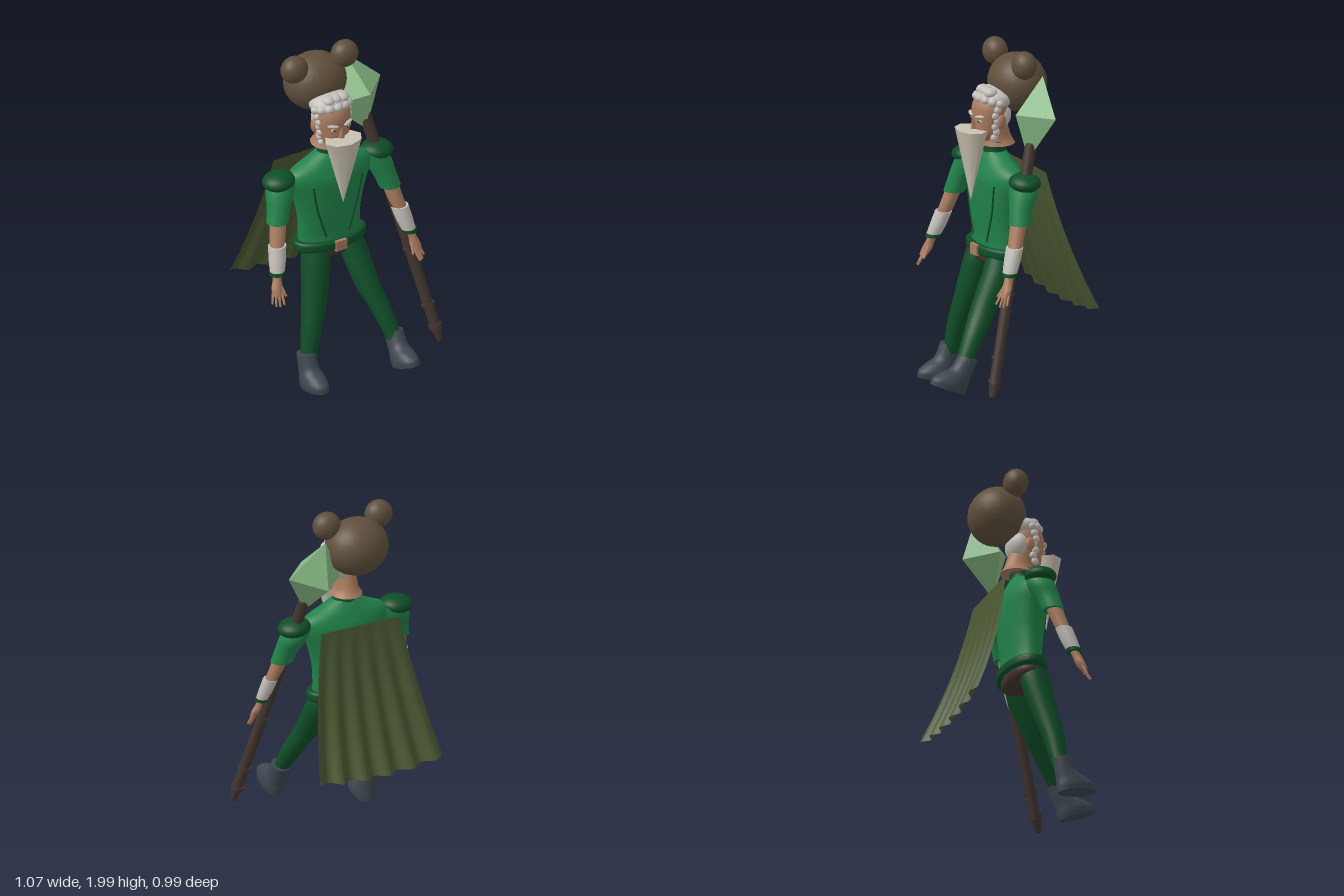
import * as THREE from 'three';

const mat = (name, color) => new THREE.MeshStandardMaterial({ name, color });

export function createModel() {
  const M = {
    green: mat('tunic green', 0x21824a),
    dark: mat('dark green', 0x0e4d27),
    olive: mat('cape olive', 0x4a5731),
    brown: mat('hat brown', 0x5f4f3c),
    wood: mat('staff wood', 0x43352f),
    crystal: mat('crystal green', 0x86b983),
    skin: mat('skin', 0xaa7c5e),
    white: mat('hair white', 0xc2beb8),
    beard: mat('beard cream', 0xcac1b1),
    boot: mat('boot slate', 0x3d474f),
  };
  M.olive.side = THREE.DoubleSide;
  M.crystal.flatShading = true;

  const model = new THREE.Group();
  model.name = 'wizard';
  const CX = -0.033; // body centre line

  const add = (name, geo, material, pos = [0, 0, 0], scale = [1, 1, 1], parent = model) => {
    const m = new THREE.Mesh(geo, material);
    m.name = name;
    m.position.set(...pos);
    m.scale.set(...scale);
    parent.add(m);
    return m;
  };
  const ball = (name, material, pos, radii, parent) =>
    add(name, new THREE.SphereGeometry(1, 24, 16), material, pos, radii, parent);
  // round bar between two points
  const bar = (name, material, a, b, ra, rb, seg = 16) => {
    const A = new THREE.Vector3(...a), B = new THREE.Vector3(...b);
    const d = B.clone().sub(A);
    const m = add(name, new THREE.CylinderGeometry(rb, ra, d.length(), seg), material);
    m.position.copy(A).addScaledVector(d, 0.5);
    m.quaternion.setFromUnitVectors(new THREE.Vector3(0, 1, 0), d.normalize());
    return m;
  };
  // smooth body through level ellipses [x, y, z, rx, rz], with capped ends
  const loft = (name, material, rings, parent, seg = 24) => {
    const r = [...rings].sort((a, b) => a[1] - b[1]);
    const path = new THREE.CatmullRomCurve3(r.map(q => new THREE.Vector3(q[0], q[1], q[2])));
    const size = new THREE.CatmullRomCurve3(r.map(q => new THREE.Vector3(q[3], q[4], 0)));
    path.curveType = size.curveType = 'catmullrom';
    const n = (r.length - 1) * 5, pos = [], idx = [];
    const ring = t => {
      const c = path.getPoint(t), s = size.getPoint(t);
      for (let j = 0; j < seg; j++) {
        const a = j / seg * Math.PI * 2;
        pos.push(c.x + s.x * Math.sin(a), c.y, c.z + s.y * Math.cos(a));
      }
    };
    for (let i = 0; i <= n; i++) ring(i / n);
    for (let i = 0; i < n; i++) for (let j = 0; j < seg; j++) {
      const k = (j + 1) % seg, a = i * seg + j, b = i * seg + k;
      idx.push(a, b, b + seg, a, b + seg, a + seg);
    }
    for (const t of [0, 1]) {
      const s = pos.length / 3;
      ring(t);
      pos.push(...path.getPoint(t).toArray());
      for (let j = 0; j < seg; j++) {
        const k = (j + 1) % seg;
        idx.push(s + seg, s + (t ? j : k), s + (t ? k : j));
      }
    }
    const g = new THREE.BufferGeometry();
    g.setAttribute('position', new THREE.Float32BufferAttribute(pos, 3));
    g.setIndex(idx);
    g.computeVertexNormals();
    return add(name, g, material, [0, 0, 0], [1, 1, 1], parent);
  };

  // torso, collar, belt
  loft('torso', M.green, [
    [CX, 0.84, -0.05, 0.2, 0.1], [CX, 0.92, -0.05, 0.198, 0.1], [CX, 1.03, -0.05, 0.205, 0.112],
    [CX, 1.15, -0.05, 0.235, 0.12], [CX, 1.25, -0.05, 0.27, 0.118], [CX, 1.31, -0.05, 0.255, 0.1],
    [CX, 1.36, -0.05, 0.15, 0.08], [CX, 1.4, -0.05, 0.075, 0.06]], model, 32);
  loft('collar', M.dark, [[CX, 1.36, -0.05, 0.085, 0.072], [CX, 1.41, -0.05, 0.068, 0.062], [CX, 1.46, -0.05, 0.076, 0.068]]);
  loft('belt', M.dark, [[CX, 0.803, -0.045, 0.222, 0.115], [CX, 0.815, -0.045, 0.232, 0.124], [CX, 0.848, -0.045, 0.232, 0.124], [CX, 0.86, -0.045, 0.22, 0.115]], model, 32);
  add('buckle', new THREE.BoxGeometry(0.072, 0.062, 0.02), M.skin, [CX, 0.83, 0.078]);
  ball('pelvis', M.wood, [CX, 0.79, -0.045], [0.19, 0.075, 0.1]);
  for (const s of [-1, 1]) {
    const seam = new THREE.CatmullRomCurve3([[0.162, 1.235, 0.046], [0.13, 1.07, 0.041], [0.075, 0.89, 0.044]]
      .map(p => new THREE.Vector3(CX + s * p[0], p[1], p[2])));
    add('tunicSeam', new THREE.TubeGeometry(seam, 20, 0.006, 6), M.dark);
  }

  // arms
  for (const s of [-1, 1]) {
    const X = d => CX + s * d;
    ball('shoulderPad', M.dark, [X(0.327), 1.287, -0.06], [0.096, 0.052, 0.09]).rotation.z = -s * 0.08;
    loft('sleeve', M.green, [[X(0.3), 1.29, -0.06, 0.075, 0.075], [X(0.325), 1.22, -0.05, 0.082, 0.08],
      [X(0.352), 1.14, -0.02, 0.068, 0.066], [X(0.374), 1.065, 0, 0.064, 0.06]]);
    loft('forearm', M.skin, [[X(0.37), 1.09, 0, 0.048, 0.046], [X(0.395), 0.98, 0.035, 0.045, 0.042], [X(0.42), 0.9, 0.06, 0.04, 0.038]]);
    loft('bracer', M.white, [[X(0.407), 0.945, 0.05, 0.053, 0.047], [X(0.422), 0.87, 0.075, 0.05, 0.046], [X(0.438), 0.8, 0.1, 0.042, 0.04]]);
    loft('cuffBand', M.dark, [[X(0.437), 0.812, 0.097, 0.046, 0.043], [X(0.439), 0.792, 0.102, 0.045, 0.042]]);
    loft('hand', M.skin, [[X(0.44), 0.8, 0.1, 0.026, 0.026], [X(0.449), 0.76, 0.115, 0.026, 0.026],
      [X(0.458), 0.72, 0.13, 0.034, 0.026], [X(0.465), 0.685, 0.148, 0.028, 0.02]]);
    for (let i = 0; i < 4; i++) {
      const o = (i - 1.5) * 0.014;
      bar('finger', M.skin, [X(0.462 + o), 0.7, 0.14 - o * 0.5], [X(0.478 + o * 1.3), 0.62 + Math.abs(o), 0.175 - o], 0.009, 0.006, 8);
    }
    bar('thumb', M.skin, [X(0.44), 0.74, 0.13], [X(0.422), 0.675, 0.17], 0.011, 0.007, 8);
  }

  // legs and boots
  const leg = (rings, pos, tilt) => {
    loft('leg', M.dark, rings);
    const boot = new THREE.Group();
    boot.name = 'boot';
    boot.position.set(...pos);
    boot.rotation.x = tilt;
    model.add(boot);
    loft('bootShell', M.boot, [[0, 0, 0.057, 0.062, 0.115], [0, 0.035, 0.057, 0.068, 0.115], [0, 0.075, 0.04, 0.063, 0.094],
      [0, 0.12, 0.012, 0.056, 0.066], [0, 0.205, 0, 0.055, 0.054]], boot);
  };
  leg([[-0.145, 0.81, -0.02, 0.07, 0.075], [-0.15, 0.72, -0.005, 0.082, 0.086], [-0.185, 0.52, 0.04, 0.075, 0.075],
    [-0.225, 0.36, 0.075, 0.062, 0.062], [-0.265, 0.17, 0.1, 0.046, 0.046]], [-0.28, 0.015, 0.135], -0.17);
  leg([[0.085, 0.81, -0.02, 0.07, 0.075], [0.1, 0.72, 0.01, 0.08, 0.084], [0.125, 0.54, 0.105, 0.072, 0.078],
    [0.165, 0.4, 0.19, 0.06, 0.068], [0.195, 0.25, 0.275, 0.046, 0.05]], [0.204, 0.095, 0.335], -0.4);

  // neck and head
  loft('neck', M.skin, [[CX, 1.435, -0.07, 0.092, 0.1], [CX, 1.48, -0.06, 0.07, 0.085], [CX, 1.58, -0.04, 0.065, 0.075]]);
  loft('head', M.skin, [[CX, 1.47, 0.03, 0.045, 0.035], [CX, 1.51, 0.01, 0.082, 0.07], [CX, 1.59, -0.01, 0.103, 0.092],
    [CX, 1.67, -0.02, 0.107, 0.098], [CX, 1.74, -0.03, 0.075, 0.07]]);
  const nose = add('nose', new THREE.ConeGeometry(0.02, 0.085, 10), M.skin, [CX, 1.575, 0.088], [1, 1, 1.3]);
  nose.rotation.x = 0.22;
  for (const s of [-1, 1]) {
    ball('ear', M.skin, [CX + s * 0.11, 1.59, -0.035], [0.014, 0.04, 0.026]);
    ball('eye', M.white, [CX + s * 0.043, 1.59, 0.07], [0.018, 0.009, 0.008]);
    ball('pupil', M.wood, [CX + s * 0.043, 1.59, 0.076], [0.007, 0.007, 0.004]);
    const brow = ball('eyebrow', M.white, [CX + s * 0.05, 1.618, 0.075], [0.034, 0.009, 0.013]);
    brow.rotation.set(0, s * 0.35, s * 0.15);
    for (let i = 0; i < 6; i++) // side curls
      ball('sideCurl', M.white, [CX + s * (0.106 - i * 0.004), 1.66 - i * 0.033, -0.01 + 0.012 * (i % 2)], [0.016, 0.022, 0.022]);
  }

  // hair, beard
  ball('hairCap', M.white, [CX, 1.71, -0.045], [0.122, 0.066, 0.105]);
  ball('hairBack', M.white, [CX, 1.61, -0.065], [0.1, 0.09, 0.072]);
  for (let i = 0; i < 7; i++) {
    const a = (i / 6 - 0.5) * Math.PI * 0.95;
    ball('frontCurl', M.white, [CX + Math.sin(a) * 0.1, 1.695 + 0.02 * Math.cos(a), -0.03 + Math.cos(a) * 0.075], [0.032, 0.026, 0.028]);
    if (i > 1 && i < 5) ball('topCurl', M.white, [CX + (i - 2.8) * 0.045, 1.75, 0.005], [0.037, 0.029, 0.04]);
  }
  add('beard', new THREE.ConeGeometry(1, 0.42, 8), M.beard, [CX, 1.33, 0.103], [0.118, 1, 0.083]).rotation.x = Math.PI;

  // round hat with two pompoms
  ball('hat', M.brown, [CX, 1.775, -0.195], [0.187, 0.167, 0.163]);
  for (const s of [-1, 1]) ball('pompom', M.brown, [CX + s * 0.167, 1.919, -0.147], [0.082, 0.081, 0.07]);

  // staff
  const top = new THREE.Vector3(0.258, 1.47, -0.115), end = new THREE.Vector3(0.505, 0.13, 0.268);
  const at = t => top.clone().lerp(end, t).toArray();
  bar('staffShaft', M.wood, at(0.95), at(-0.02), 0.03, 0.034);
  bar('staffTip', M.wood, at(1), at(0.95), 0.018, 0.031);
  for (const t of [0.585, 0.84, 0.935]) bar('staffRing', M.wood, at(t + 0.006), at(t - 0.006), 0.039, 0.039);

  // crystal: stretched octahedron from its corners
  const c = [[0.19, 1.86, -0.235], [0.235, 1.67, -0.034], [0.405, 1.665, -0.197], [0.21, 1.595, -0.307], [0.04, 1.6, -0.145], [0.254, 1.405, -0.105]];
  const faces = [];
  for (let i = 0; i < 4; i++) {
    const a = 1 + i, b = 1 + (i + 1) % 4;
    faces.push(...c[0], ...c[a], ...c[b], ...c[5], ...c[b], ...c[a]);
  }
  const gem = new THREE.BufferGeometry();
  gem.setAttribute('position', new THREE.Float32BufferAttribute(faces, 3));
  gem.computeVertexNormals();
  add('crystal', gem, M.crystal);

  // rippled cape
  const cape = new THREE.PlaneGeometry(1, 1, 64, 16), p = cape.attributes.position;
  for (let i = 0; i < p.count; i++) {
    const u = p.getX(i), v = 0.5 - p.getY(i);
    p.setXYZ(i, -0.03 + u * (0.5 + 0.3 * v), 1.3 - 0.84 * v + 0.16 * u * u * v,
      -0.24 - 0.12 * v - 0.12 * v * v - 0.02 * v * Math.cos((u + 0.06) / 0.187 * Math.PI * 2));
  }
  cape.computeVertexNormals();
  add('cape', cape, M.olive);

  return model;
}
